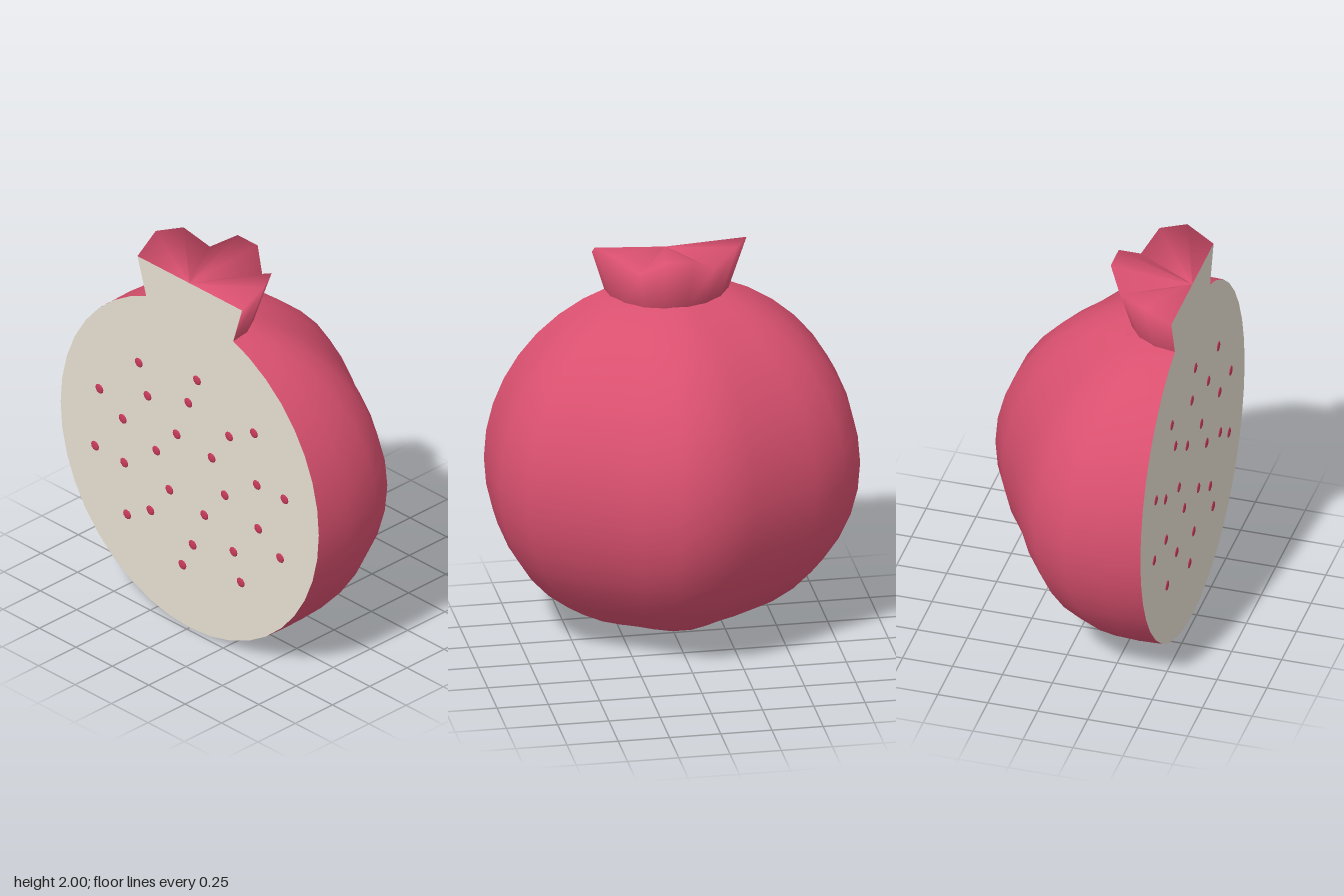
import * as THREE from 'three';

const CUT_X = -0.48; // plane of the cut, also the fruit's axis

const red = new THREE.MeshStandardMaterial({ color: 0xd9506f });
red.name = 'skin red';
const cream = new THREE.MeshStandardMaterial({ color: 0xe5ddd0 });
cream.name = 'pith cream';
const seedRed = new THREE.MeshStandardMaterial({ color: 0xc93a5c });
seedRed.name = 'seed red';

// Half turn of rings around the axis; point(ring, angle) gives [radius, y]
function halfTurn(rings, segments, point) {
  const positions = [], index = [];
  for (let i = 0; i < rings; i++) {
    for (let j = 0; j <= segments; j++) {
      const angle = (j / segments - 0.5) * Math.PI;
      const [r, y] = point(i, angle);
      positions.push(CUT_X + r * Math.cos(angle), y, r * Math.sin(angle));
      if (i < rings - 1 && j < segments) {
        const a = i * (segments + 1) + j, c = a + segments + 1;
        index.push(a, c, a + 1, a + 1, c, c + 1);
      }
    }
  }
  const geometry = new THREE.BufferGeometry();
  geometry.setAttribute('position', new THREE.Float32BufferAttribute(positions, 3));
  geometry.setIndex(index);
  geometry.computeVertexNormals();
  return geometry;
}

// Flat face on the cut plane, facing -x, from [z, y] outline points
function cutFace(points) {
  const shape = new THREE.Shape(points.map(([z, y]) => new THREE.Vector2(z, y)));
  return new THREE.ShapeGeometry(shape).rotateY(-Math.PI / 2).translate(CUT_X, 0, 0);
}

export function createModel() {
  const group = new THREE.Group();
  const add = (name, geometry, material, parent = group) => {
    const mesh = new THREE.Mesh(geometry, material);
    mesh.name = name;
    parent.add(mesh);
    return mesh;
  };

  // Six-lobed round body
  const RINGS = 21;
  const bodyPoint = (i, angle) => {
    const t = (i / (RINGS - 1) - 0.5) * Math.PI;
    const r = 0.928 + 0.042 * Math.cos(6 * angle);
    return [r * Math.max(0, Math.cos(t)), 0.888 + 0.888 * Math.sin(t)];
  };
  add('body', halfTurn(RINGS, 15, bodyPoint), red);

  // Flat cream flesh closing the body
  const outline = [];
  for (let i = 0; i < RINGS; i++) outline.push(bodyPoint(i, Math.PI / 2));
  for (let i = RINGS - 2; i > 0; i--) {
    const [r, y] = bodyPoint(i, -Math.PI / 2);
    outline.push([-r, y]);
  }
  add('cutFlesh', cutFace(outline), cream);

  // Flared crown with pointed lobes and a sunken top
  const crownPoint = (i, angle) => {
    const lobe = Math.cos(6 * angle);
    if (i === 0) return [0.302 + 0.004 * lobe, 1.72];
    if (i === 1) return [0.383 + 0.024 * lobe, 1.973 + 0.053 * lobe];
    return [0, 1.92];
  };
  add('crown', halfTurn(3, 9, crownPoint), red);
  const [r0, y0] = crownPoint(0, Math.PI / 2);
  const [r1, y1] = crownPoint(1, Math.PI / 2);
  add('cutCrown', cutFace([[-r0, y0], [r0, y0], [r1, y1], [0, 1.92], [-r1, y1]]), cream);

  // Small seeds set into the cut flesh, as [z, y]
  const seeds = [
    [0.05, 1.40], [0.44, 1.27], [0.27, 1.18], [-0.35, 1.33], [-0.01, 1.25],
    [0.65, 0.99], [0.46, 0.99], [-0.29, 1.17], [0.15, 1.01], [-0.09, 1.04],
    [-0.62, 1.07], [-0.46, 0.97], [-0.23, 0.89], [0.24, 0.84], [0.47, 0.75],
    [0.62, 0.65], [-0.14, 0.71], [0.10, 0.67], [0.30, 0.55], [-0.65, 0.74],
    [-0.45, 0.73], [-0.27, 0.54], [0.02, 0.47], [0.35, 0.40], [-0.43, 0.45],
    [-0.05, 0.33],
  ];
  const seedGroup = new THREE.Group();
  seedGroup.name = 'seeds';
  group.add(seedGroup);
  const seedGeometry = new THREE.SphereGeometry(1, 8, 6).scale(0.006, 0.025, 0.027);
  for (const [z, y] of seeds) {
    add('seed', seedGeometry, seedRed, seedGroup).position.set(CUT_X, y, z);
  }

  return group;
}
